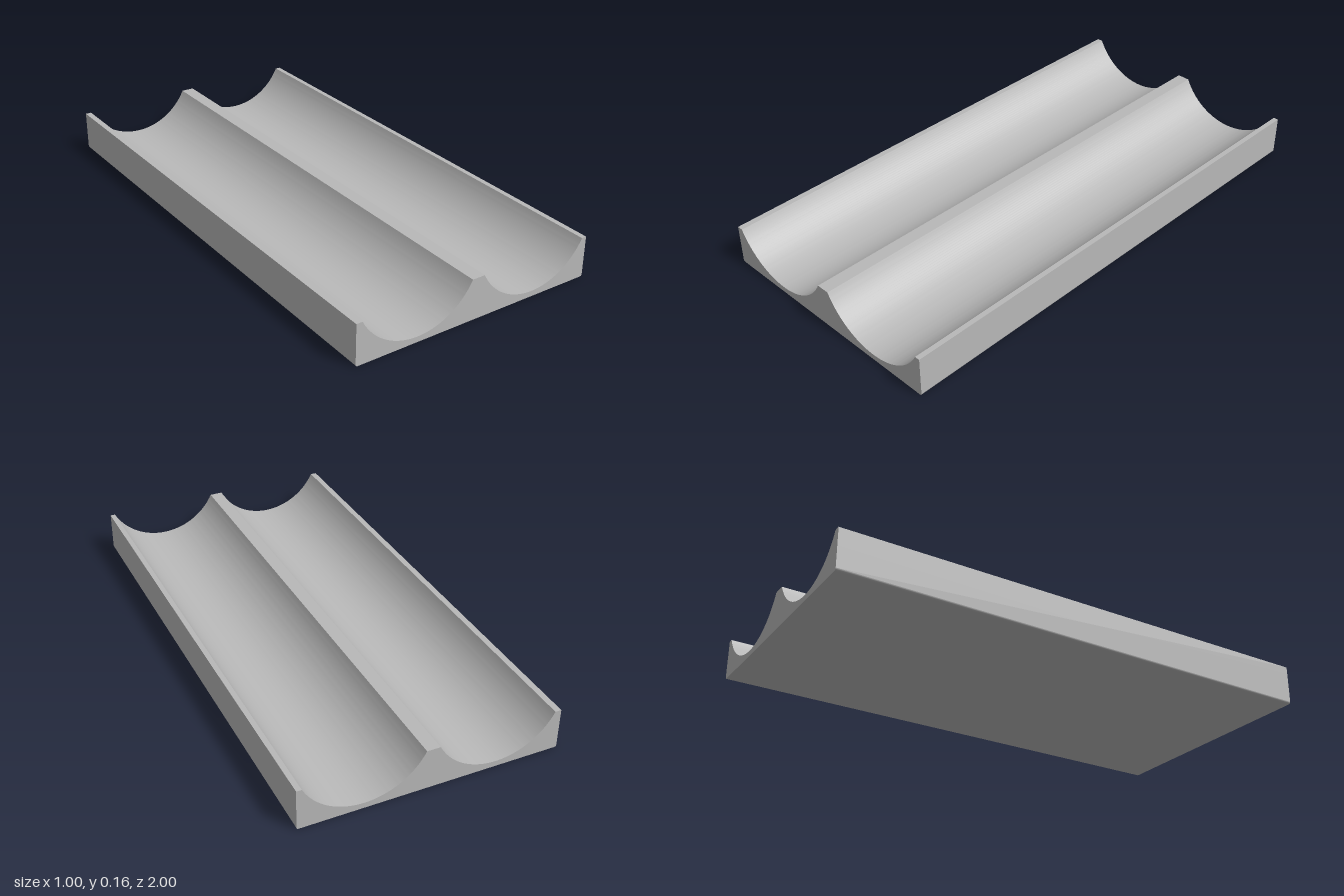
import * as THREE from 'three';
import { toCreasedNormals } from 'three/addons/utils/BufferGeometryUtils.js';

const HALF_WIDTH = 0.5, HEIGHT = 0.161, LENGTH = 2;
const FLOOR = 0.022, HALF_GROOVE = 0.226, EDGE = 0.008;

// Adds one round groove to the top edge, drawn from right lip to left lip
function cutGroove(shape, x) {
  const depth = HEIGHT - FLOOR;
  const radius = (HALF_GROOVE ** 2 + depth ** 2) / (2 * depth);
  const angle = Math.atan2(FLOOR + radius - HEIGHT, HALF_GROOVE);
  shape.lineTo(x + HALF_GROOVE, HEIGHT);
  shape.absarc(x, FLOOR + radius, radius, -angle, angle - Math.PI, true);
}

export function createModel() {
  const group = new THREE.Group();
  group.name = 'doubleGrooveTray';
  const grey = new THREE.MeshStandardMaterial({ color: 0xb8b8b8 });
  grey.name = 'grey';

  // Cross-section: rounded bottom edges, flat lips and two grooves
  const profile = new THREE.Shape();
  profile.moveTo(-HALF_WIDTH + EDGE, 0);
  profile.lineTo(HALF_WIDTH - EDGE, 0);
  profile.absarc(HALF_WIDTH - EDGE, EDGE, EDGE, -Math.PI / 2, 0, false);
  profile.lineTo(HALF_WIDTH, HEIGHT);
  for (const x of [0.254, -0.25]) cutGroove(profile, x);
  profile.lineTo(-HALF_WIDTH, HEIGHT);
  profile.lineTo(-HALF_WIDTH, EDGE);
  profile.absarc(-HALF_WIDTH + EDGE, EDGE, EDGE, Math.PI, Math.PI * 1.5, false);

  // Body: the profile run along the whole length
  const geometry = new THREE.ExtrudeGeometry(profile, {
    depth: LENGTH, bevelEnabled: false, curveSegments: 32,
  });
  geometry.translate(0, 0, -LENGTH / 2);
  const body = new THREE.Mesh(toCreasedNormals(geometry, 0.4), grey);
  body.name = 'groovedBody';
  group.add(body);
  return group;
}
